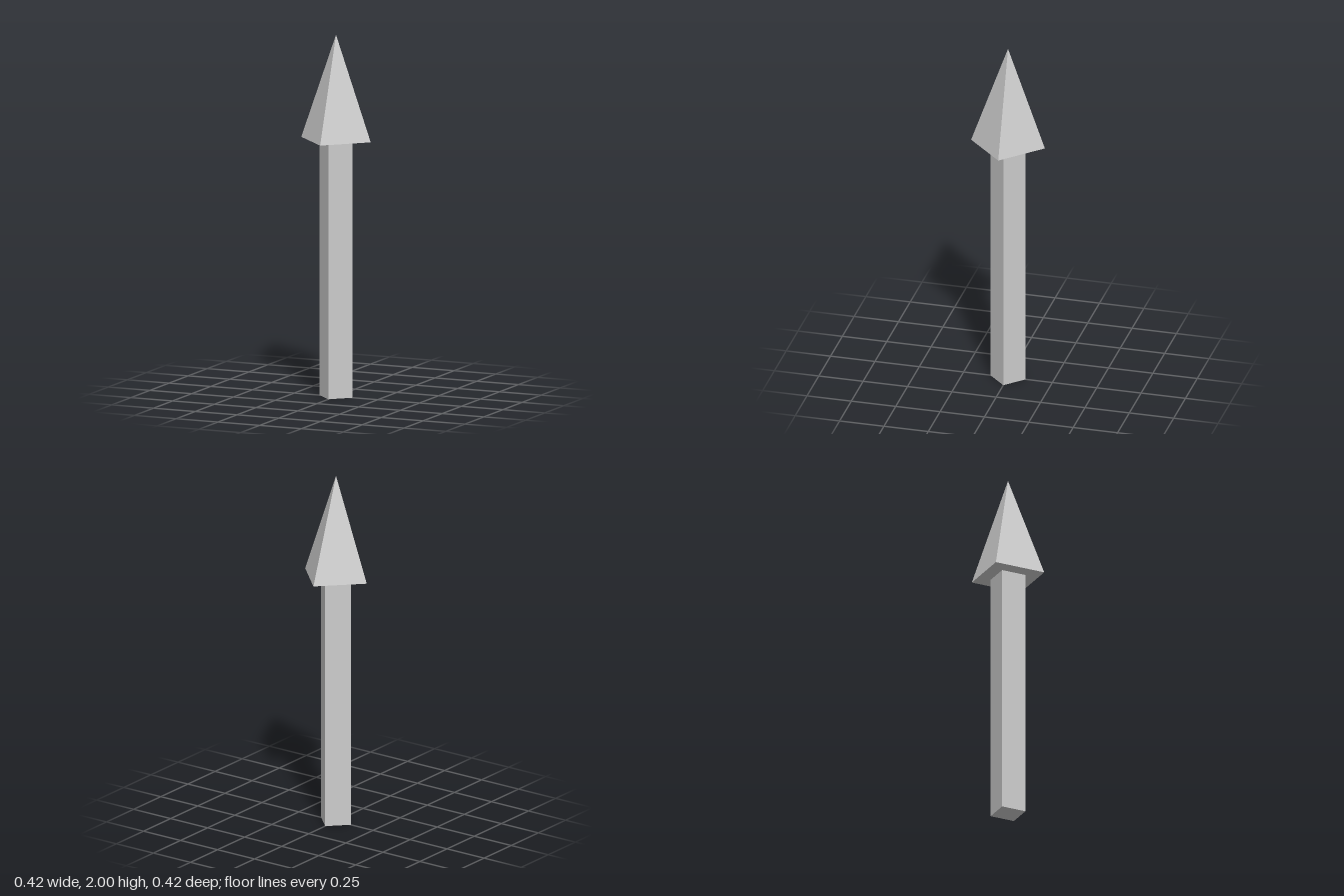
import * as THREE from 'three';

const SIDES = 4;
const NECK = 1.42; // height where the shaft meets the head
const TOP = 2;

export function createModel() {
  const model = new THREE.Group();
  model.name = 'arrow';
  const material = new THREE.MeshStandardMaterial({ color: 0xcccccc, flatShading: true });

  // Square shaft, corners on the x and z axes
  const shaft = new THREE.Mesh(new THREE.CylinderGeometry(0.1, 0.1, NECK, SIDES), material);
  shaft.name = 'shaft';
  shaft.position.y = NECK / 2;

  // Four-sided pyramid head, aligned with the shaft
  const head = new THREE.Mesh(new THREE.ConeGeometry(0.208, TOP - NECK, SIDES), material);
  head.name = 'arrowHead';
  head.position.y = (NECK + TOP) / 2;

  model.add(shaft, head);
  return model;
}
